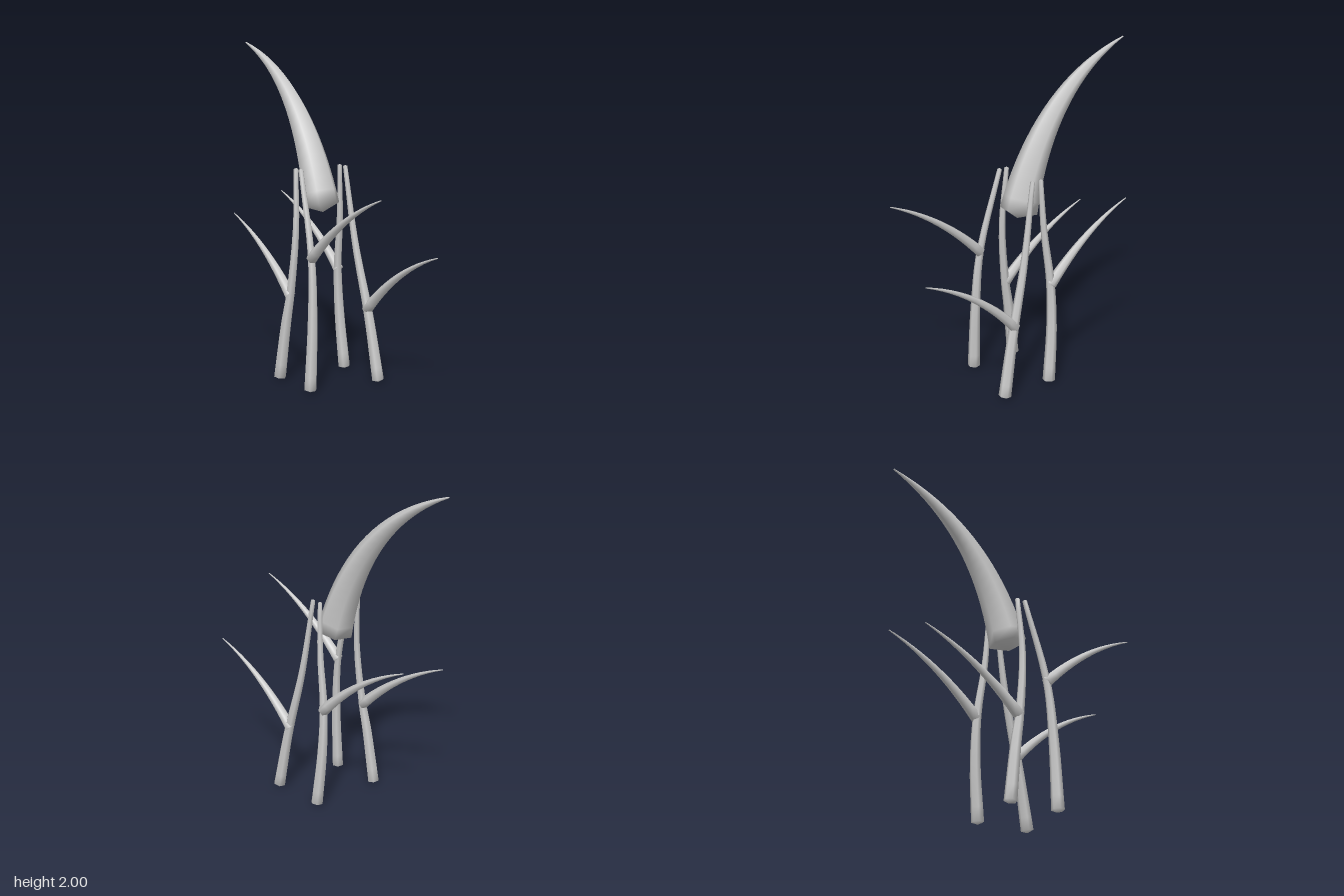
import * as THREE from 'three';

const SIDES = 6;
const TWIST = Math.PI / 12;

// Tapered six-sided tube along a curve, closed by a shallow point at each end
function taperedTube(curve, r0, r1, segments) {
  const pos = [], index = [];
  const push = (v) => pos.push(v.x, v.y, v.z);
  const xAxis = new THREE.Vector3(1, 0, 0);
  for (let i = 0; i <= segments; i++) {
    const t = i / segments;
    const centre = curve.getPoint(t), dir = curve.getTangent(t);
    const u = xAxis.clone().addScaledVector(dir, -dir.x).normalize();
    const v = u.clone().cross(dir);
    const r = r0 + (r1 - r0) * t;
    for (let j = 0; j < SIDES; j++) {
      const a = TWIST + (j / SIDES) * Math.PI * 2;
      push(centre.clone().addScaledVector(u, r * Math.cos(a)).addScaledVector(v, r * Math.sin(a)));
    }
  }
  push(curve.getPoint(0).addScaledVector(curve.getTangent(0), -0.4 * r0));
  push(curve.getPoint(1).addScaledVector(curve.getTangent(1), 0.4 * r1));
  const last = segments * SIDES, bottom = last + SIDES, top = bottom + 1;
  for (let j = 0; j < SIDES; j++) {
    const k = (j + 1) % SIDES;
    for (let i = 0; i < segments; i++) {
      const a = i * SIDES + j, b = i * SIDES + k;
      index.push(a, a + SIDES, b, b, a + SIDES, b + SIDES);
    }
    index.push(bottom, j, k, top, last + k, last + j);
  }
  const geo = new THREE.BufferGeometry();
  geo.setAttribute('position', new THREE.Float32BufferAttribute(pos, 3));
  geo.setIndex(index);
  geo.computeVertexNormals();
  return geo;
}

const vec = (p) => new THREE.Vector3(...p);
const bend = (a, b, c) => new THREE.QuadraticBezierCurve3(vec(a), vec(b), vec(c));

// Each stem: centre points from foot to top, then its side branch from root to tip
const STEMS = [
  { name: 'frontLeft',
    stem: [[0.215, 0.015, 0.28], [0.2, 0.4, 0.205], [0.178, 0.81, 0.105], [0.157, 1.28, 0.028]],
    branch: [[0.2, 0.43, 0.19], [0.2, 0.73, 0.46], [0.197, 0.845, 0.8]] },
  { name: 'frontRight',
    stem: [[-0.22, 0.015, 0.19], [-0.2, 0.42, 0.185], [-0.185, 0.78, 0.155], [-0.162, 1.28, 0.02]],
    branch: [[-0.185, 0.78, 0.155], [-0.185, 1.07, 0.44], [-0.185, 1.195, 0.77]] },
  { name: 'backLeft',
    stem: [[0.22, 0.015, -0.055], [0.205, 0.35, -0.085], [0.19, 0.64, -0.085], [0.175, 0.97, -0.045], [0.16, 1.28, -0.03]],
    branch: [[0.195, 0.63, -0.085], [0.19, 0.92, -0.36], [0.19, 1.045, -0.685]] },
  { name: 'backRight',
    stem: [[-0.22, 0.015, -0.12], [-0.205, 0.35, -0.075], [-0.195, 0.55, -0.04], [-0.178, 0.92, -0.008], [-0.16, 1.28, -0.03]],
    branch: [[-0.195, 0.53, -0.045], [-0.195, 0.81, -0.32], [-0.195, 0.94, -0.655]] },
];

export function createModel() {
  const model = new THREE.Group();
  const paleGrey = new THREE.MeshStandardMaterial({ color: 0xcccccc });
  const add = (parent, name, geo) => {
    const mesh = new THREE.Mesh(geo, paleGrey);
    mesh.name = name;
    parent.add(mesh);
  };

  // Large horn sweeping up and back
  add(model, 'horn', taperedTube(bend([0, 1.06, 0.005], [0, 1.777, -0.185], [0, 2, -0.8]), 0.113, 0.004, 20));

  // Four stems, each with a thorn-like branch
  for (const { name, stem, branch } of STEMS) {
    const group = new THREE.Group();
    group.name = name + 'Leg';
    add(group, name + 'Stem', taperedTube(new THREE.CatmullRomCurve3(stem.map(vec)), 0.038, 0.014, 16));
    add(group, name + 'Branch', taperedTube(bend(...branch), 0.034, 0.003, 12));
    model.add(group);
  }
  return model;
}
